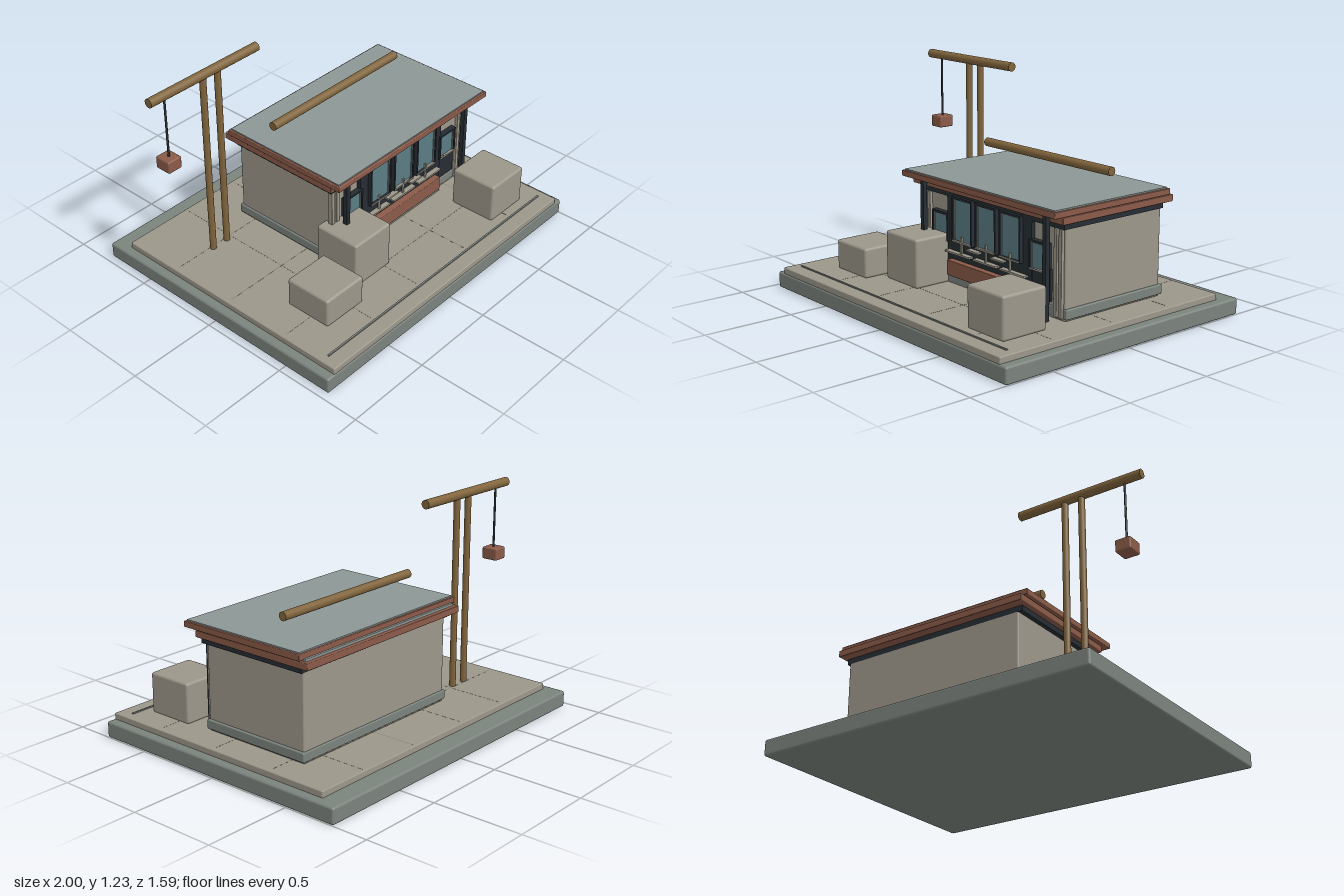
import * as THREE from 'three';
import { RoundedBoxGeometry } from 'three/addons/geometries/RoundedBoxGeometry.js';

const mat = (color) => new THREE.MeshStandardMaterial({ color });
const M = {
  base: mat(0x7b837d), stone: mat(0x9c978a), roof: mat(0x8c9694), brick: mat(0x8a5a48),
  dark: mat(0x262d33), wood: mat(0x80643c), glass: mat(0x5a7c84), seam: mat(0x7f7b70),
};

export function createModel() {
  const model = new THREE.Group();
  model.name = 'stationDiorama';

  const add = (parent, name, geometry, material) => {
    const mesh = new THREE.Mesh(geometry, material);
    mesh.name = name;
    parent.add(mesh);
    return mesh;
  };
  // Box from its extents on each axis; r rounds the edges
  const box = (parent, name, material, [x0, x1], [y0, y1], [z0, z1], r = 0) => {
    const size = [x1 - x0, y1 - y0, z1 - z0];
    const geometry = r ? new RoundedBoxGeometry(...size, 2, r) : new THREE.BoxGeometry(...size);
    const mesh = add(parent, name, geometry, material);
    mesh.position.set((x0 + x1) / 2, (y0 + y1) / 2, (z0 + z1) / 2);
    return mesh;
  };
  // Round bar between two points
  const bar = (parent, name, material, from, to, r) => {
    const a = new THREE.Vector3(...from), b = new THREE.Vector3(...to);
    const mesh = add(parent, name, new THREE.CylinderGeometry(r, r, a.distanceTo(b), 20), material);
    mesh.position.copy(a).add(b).multiplyScalar(0.5);
    mesh.quaternion.setFromUnitVectors(new THREE.Vector3(0, 1, 0), b.sub(a).normalize());
    return mesh;
  };
  const group = (name) => {
    const g = new THREE.Group();
    g.name = name;
    model.add(g);
    return g;
  };

  // Ground: base, paving, fine joints and the edge strip
  const ground = group('ground');
  box(ground, 'base', M.base, [-0.96, 1.0], [0, 0.09], [-0.8, 0.79], 0.012);
  box(ground, 'paving', M.stone, [-0.91, 0.95], [0.085, 0.124], [-0.69, 0.785], 0.006);
  for (const x of [-0.51, -0.15, 0.25, 0.64])
    box(ground, 'pavingJoint', M.seam, [x - 0.002, x + 0.002], [0.12, 0.1245], [-0.67, 0.67]);
  for (const z of [-0.34, 0.05, 0.44])
    box(ground, 'pavingJoint', M.seam, [-0.88, 0.92], [0.12, 0.1245], [z - 0.002, z + 0.002]);
  box(ground, 'edgeStrip', M.base, [-0.86, 0.9], [0.12, 0.13], [0.695, 0.705]);

  // Building shell
  const building = group('building');
  box(building, 'walls', M.stone, [-0.32, 0.785], [0.125, 0.61], [-0.425, 0.23], 0.008);
  box(building, 'plinth', M.base, [-0.33, 0.8], [0.138, 0.19], [-0.435, 0.235], 0.006);

  // Roof: stepped bands under a flat deck
  const roof = group('roof');
  box(roof, 'soffitBand', M.dark, [-0.345, 0.8], [0.598, 0.632], [-0.425, 0.255]);
  box(roof, 'lowerCornice', M.brick, [-0.375, 0.818], [0.628, 0.665], [-0.48, 0.28], 0.004);
  box(roof, 'lowerDeck', M.roof, [-0.355, 0.8], [0.66, 0.678], [-0.455, 0.27]);
  box(roof, 'upperCornice', M.brick, [-0.387, 0.833], [0.672, 0.704], [-0.442, 0.347], 0.004);
  box(roof, 'roofDeck', M.roof, [-0.375, 0.82], [0.69, 0.711], [-0.43, 0.335]);
  bar(roof, 'roofLog', M.wood, [-0.31, 0.8, -0.185], [0.67, 0.8, -0.185], 0.024);

  // Shop front
  const front = group('shopFront');
  box(front, 'frontPanel', M.dark, [-0.115, 0.56], [0.185, 0.612], [0.225, 0.252]);
  box(front, 'lowerPanel', M.dark, [-0.24, 0.69], [0.21, 0.375], [0.225, 0.245]);
  box(front, 'frontStep', M.base, [-0.12, 0.57], [0.125, 0.185], [0.225, 0.25]);
  box(front, 'counter', M.brick, [-0.08, 0.525], [0.178, 0.262], [0.24, 0.288], 0.004);

  // Framed window: four bars around a pane, with a sill
  const windowAt = (name, cx, y0, y1, w, z, frame) => {
    const x0 = cx - w / 2, x1 = cx + w / 2, t = 0.01;
    box(front, name + 'Pane', M.glass, [x0, x1], [y0, y1], [z - 0.01, z]);
    for (const [xs, ys] of [
      [[x0 - t, x0], [y0 - t, y1 + t]], [[x1, x1 + t], [y0 - t, y1 + t]],
      [[x0, x1], [y0 - t, y0]], [[x0, x1], [y1, y1 + t]],
    ]) box(front, name + 'Frame', frame, xs, ys, [z - 0.02, z + 0.012]);
    box(front, name + 'Sill', M.stone, [x0 - 0.006, x1 + 0.006], [y0 - 0.009, y0], [z, z + 0.014]);
    for (const x of [x0, x1 - 0.006])
      box(front, name + 'Trim', M.base, [x, x + 0.006], [y0, y1], [z, z + 0.006]);
    box(front, name + 'Trim', M.base, [x0, x1], [y1 - 0.006, y1], [z, z + 0.006]);
  };
  for (const x of [0.03, 0.222, 0.413])
    windowAt('mainWindow', x, 0.375, 0.6, 0.145, 0.262, M.dark);
  for (const x of [-0.17, 0.615])
    windowAt('sideWindow', x, 0.36, 0.495, 0.115, 0.25, M.dark);

  // Serving ledges with short uprights
  for (const [x0, x1, y] of [[-0.1, 0.1, 0.305], [0.13, 0.315, 0.305], [0.345, 0.535, 0.305], [0.08, 0.17, 0.345], [0.275, 0.365, 0.345]])
    box(front, 'ledge', M.stone, [x0, x1], [y - 0.005, y + 0.005], [0.245, 0.282]);
  for (const x of [0.022, 0.222, 0.413])
    box(front, 'ledgeUpright', M.stone, [x - 0.005, x + 0.005], [0.305, 0.4], [0.262, 0.272]);

  // Corner pilasters and slender porch posts, mirrored about the building's middle
  const mid = 0.222;
  for (const s of [-1, 1]) {
    const name = s > 0 ? 'left' : 'right';
    for (const d of [0.505, 0.54]) {
      const x = mid + s * d;
      box(front, name + 'Pilaster', M.stone, [x - 0.012, x + 0.012], [0.14, 0.59], [0.22, 0.248], 0.004);
    }
    const x = mid + s * 0.489;
    box(front, name + 'Post', M.dark, [x - 0.013, x + 0.013], [0.125, 0.672], [0.28, 0.305]);
  }

  // Stone blocks in the yard
  const blocks = group('stoneBlocks');
  box(blocks, 'lowBlock', M.stone, [-0.71, -0.44], [0.122, 0.288], [0.288, 0.56], 0.014);
  box(blocks, 'tallBlock', M.stone, [-0.385, -0.113], [0.122, 0.39], [0.19, 0.462], 0.014);
  box(blocks, 'cornerBlock', M.stone, [0.535, 0.807], [0.122, 0.348], [0.37, 0.645], 0.014);

  // Hoist: twin poles, cross beam, rope and weight
  const hoist = group('hoist');
  for (const x of [-0.645, -0.545])
    bar(hoist, 'pole', M.wood, [x, 0.12, -0.327], [x, 1.2, -0.327], 0.018);
  bar(hoist, 'crossBeam', M.wood, [-1, 1.208, -0.327], [-0.268, 1.208, -0.327], 0.025);
  bar(hoist, 'rope', M.dark, [-0.9, 0.85, -0.327], [-0.9, 1.2, -0.327], 0.006);
  box(hoist, 'weight', M.brick, [-0.946, -0.858], [0.785, 0.853], [-0.375, -0.28], 0.008);

  return model;
}
